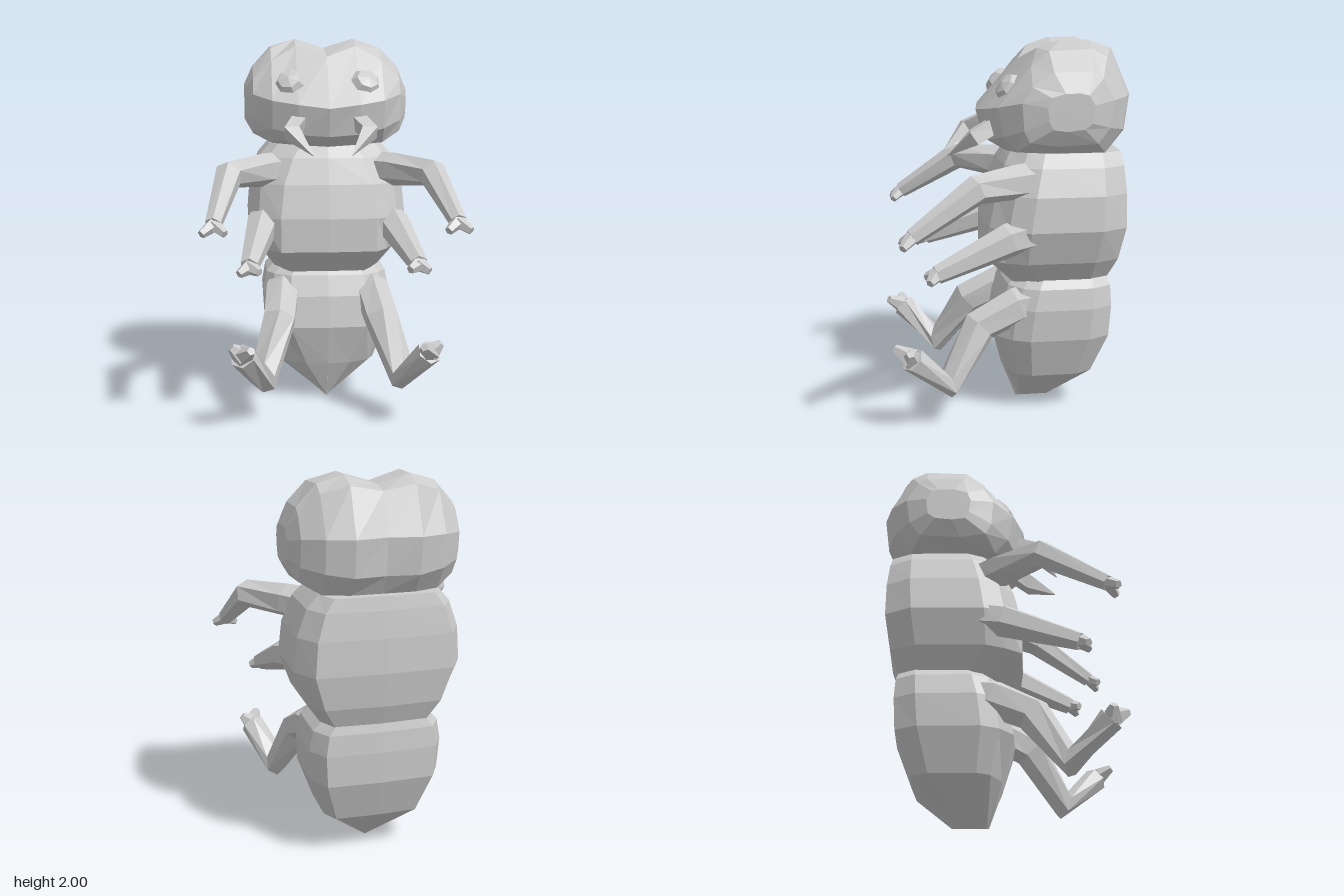
import * as THREE from 'three';

const V = (x, y, z) => new THREE.Vector3(x, y, z);
const material = new THREE.MeshStandardMaterial({ color: 0xcccccc, flatShading: true });

// Skin a list of rings (equal point counts), cap both ends, and face it outward
function loft(name, rings) {
  const tris = [];
  const n = rings[0].length;
  for (let i = 0; i < rings.length - 1; i++) {
    for (let j = 0; j < n; j++) {
      const k = (j + 1) % n;
      const [a, b, c, d] = [rings[i][j], rings[i][k], rings[i + 1][k], rings[i + 1][j]];
      tris.push([a, b, c], [a, c, d]);
    }
  }
  const cap = (ring, flip) => {
    const mid = ring.reduce((s, p) => s.add(p), V(0, 0, 0)).divideScalar(n);
    ring.forEach((p, j) => {
      const q = ring[(j + 1) % n];
      tris.push(flip ? [mid, q, p] : [mid, p, q]);
    });
  };
  cap(rings[0], true);
  cap(rings[rings.length - 1], false);
  const volume = tris.reduce((s, [a, b, c]) => s + a.dot(b.clone().cross(c)), 0);
  if (volume < 0) tris.forEach((t) => t.reverse());
  const geometry = new THREE.BufferGeometry().setFromPoints(tris.flat());
  geometry.computeVertexNormals();
  const mesh = new THREE.Mesh(geometry, material);
  mesh.name = name;
  return mesh;
}

// Tapered limb through [x, y, z, radius] stations, mirrored by side
function limb(name, stations, side, sides = 6) {
  const pts = stations.map(([x, y, z]) => V(x * side, y, z));
  const rings = pts.map((p, i) => {
    const dir = pts[Math.min(i + 1, pts.length - 1)].clone().sub(pts[Math.max(i - 1, 0)]).normalize();
    const u = V(1, 0, 0).addScaledVector(dir, -dir.x).normalize();
    const w = dir.clone().cross(u);
    return Array.from({ length: sides }, (_, j) => {
      const a = ((j + 0.5) / sides) * Math.PI * 2;
      const r = stations[i][3];
      return p.clone().addScaledVector(u, r * Math.cos(a)).addScaledVector(w, r * Math.sin(a));
    });
  });
  return loft(name, rings);
}

// Body segment from rows of [y, half width, front z, back z, front panel half width]
function segment(name, rows) {
  return loft(name, rows.map(([y, w, f, b, p]) => {
    const d = f - b;
    const half = [[p, f], [w * 0.87, f - d * 0.12], [w, f - d * 0.27], [w, f - d * 0.79], [w * 0.82, b + d * 0.02]];
    return [
      V(0, y, f + 0.01),
      ...half.map(([x, z]) => V(x, y, z)),
      V(0, y, b),
      ...half.slice().reverse().map(([x, z]) => V(-x, y, z)),
    ];
  }));
}

// Head sections across x, each a loop of [z, y]: chin, brow, crown, back, underside
const HEAD = [
  [0, [[0.15, 1.63], [-0.08, 1.9], [-0.28, 1.95], [-0.43, 1.95], [-0.54, 1.93], [-0.615, 1.72],
    [-0.6, 1.53], [-0.54, 1.43], [-0.2, 1.41], [0.01, 1.42], [0.11, 1.48]]],
  [0.165, [[0.125, 1.65], [-0.15, 1.96], [-0.27, 2.0], [-0.42, 2.0], [-0.54, 1.96], [-0.645, 1.72],
    [-0.62, 1.53], [-0.54, 1.43], [-0.2, 1.42], [0, 1.43], [0.09, 1.49]]],
  [0.3, [[0.07, 1.67], [-0.1, 1.88], [-0.19, 1.95], [-0.41, 1.96], [-0.49, 1.92], [-0.6, 1.72],
    [-0.58, 1.55], [-0.49, 1.43], [-0.2, 1.43], [-0.03, 1.44], [0.04, 1.52]]],
  [0.4, [[-0.04, 1.7], [-0.09, 1.78], [-0.2, 1.85], [-0.4, 1.85], [-0.45, 1.82], [-0.51, 1.71],
    [-0.49, 1.57], [-0.43, 1.49], [-0.22, 1.48], [-0.08, 1.5], [-0.05, 1.56]]],
  [0.447, [[-0.16, 1.68], [-0.18, 1.73], [-0.25, 1.75], [-0.33, 1.75], [-0.37, 1.74], [-0.4, 1.69],
    [-0.39, 1.6], [-0.35, 1.57], [-0.26, 1.56], [-0.19, 1.57], [-0.17, 1.61]]],
];

// Limb stations and the two claw tips at each foot
const LEGS = [
  { name: 'frontLeg',
    path: [[0.27, 1.29, -0.1, 0.095], [0.36, 1.295, 0, 0.09], [0.535, 1.295, 0.21, 0.076], [0.61, 1.085, 0.53, 0.044]],
    claws: [[0.553, 1.045, 0.58], [0.668, 1.045, 0.58]] },
  { name: 'middleLeg',
    path: [[0.33, 1.02, -0.1, 0.095], [0.36, 0.995, 0.02, 0.09], [0.435, 0.845, 0.4, 0.05]],
    claws: [[0.385, 0.825, 0.45], [0.488, 0.815, 0.44]] },
  { name: 'hindLeg',
    path: [[0.23, 0.62, -0.12, 0.105], [0.25, 0.61, -0.04, 0.1], [0.275, 0.51, 0.165, 0.095],
      [0.37, 0.23, 0.345, 0.078], [0.475, 0.415, 0.535, 0.068]],
    claws: [[0.432, 0.465, 0.622], [0.532, 0.465, 0.545]] },
];

export function createModel() {
  const model = new THREE.Group();
  model.name = 'ant';

  // Head with a notched crown
  const section = ([x, loop], s) => loop.map(([z, y]) => V(x * s, y, z));
  model.add(loft('head', [
    ...HEAD.slice(1).reverse().map((h) => section(h, -1)),
    ...HEAD.map((h) => section(h, 1)),
  ]));

  // Thorax
  model.add(segment('thorax', [
    [1.43, 0.31, -0.02, -0.595, 0.14],
    [1.36, 0.37, 0.02, -0.605, 0.19],
    [1.22, 0.42, 0.07, -0.615, 0.24],
    [1.04, 0.435, 0.11, -0.615, 0.26],
    [0.86, 0.37, 0.11, -0.585, 0.26],
    [0.73, 0.28, -0.02, -0.53, 0.2],
  ]));

  // Abdomen, closing to a narrow keel
  model.add(segment('abdomen', [
    [0.8, 0.25, -0.08, -0.53, 0.14],
    [0.71, 0.335, 0, -0.55, 0.2],
    [0.6, 0.355, 0.04, -0.555, 0.21],
    [0.43, 0.345, 0.065, -0.545, 0.21],
    [0.21, 0.265, 0.005, -0.46, 0.12],
    [0, 0.005, -0.07, -0.25, 0.003],
  ]));

  for (const side of [1, -1]) {
    const label = side > 0 ? 'left' : 'right';

    // Legs with forked feet
    for (const { name, path, claws } of LEGS) {
      const leg = new THREE.Group();
      leg.name = `${label} ${name}`;
      leg.add(limb('limb', path, side));
      const [x, y, z, r] = path[path.length - 1];
      for (const tip of claws) leg.add(limb('claw', [[x, y, z, r * 0.85], [...tip, 0.022]], side, 5));
      model.add(leg);
    }

    // Hooked mandible
    model.add(limb(`${label} mandible`, [
      [0.14, 1.58, 0.04, 0.055], [0.205, 1.51, 0.18, 0.055], [0.1, 1.4, 0.31, 0.003],
    ], side, 4));

    // Eye set into the sloping face
    const eye = new THREE.Mesh(new THREE.SphereGeometry(1, 7, 4), material);
    eye.name = `${label} eye`;
    eye.scale.set(0.085, 0.045, 0.085);
    eye.rotation.set(0.87, 0, -0.25 * side);
    eye.position.set(0.205 * side, 1.765, 0.005);
    model.add(eye);
  }
  return model;
}
